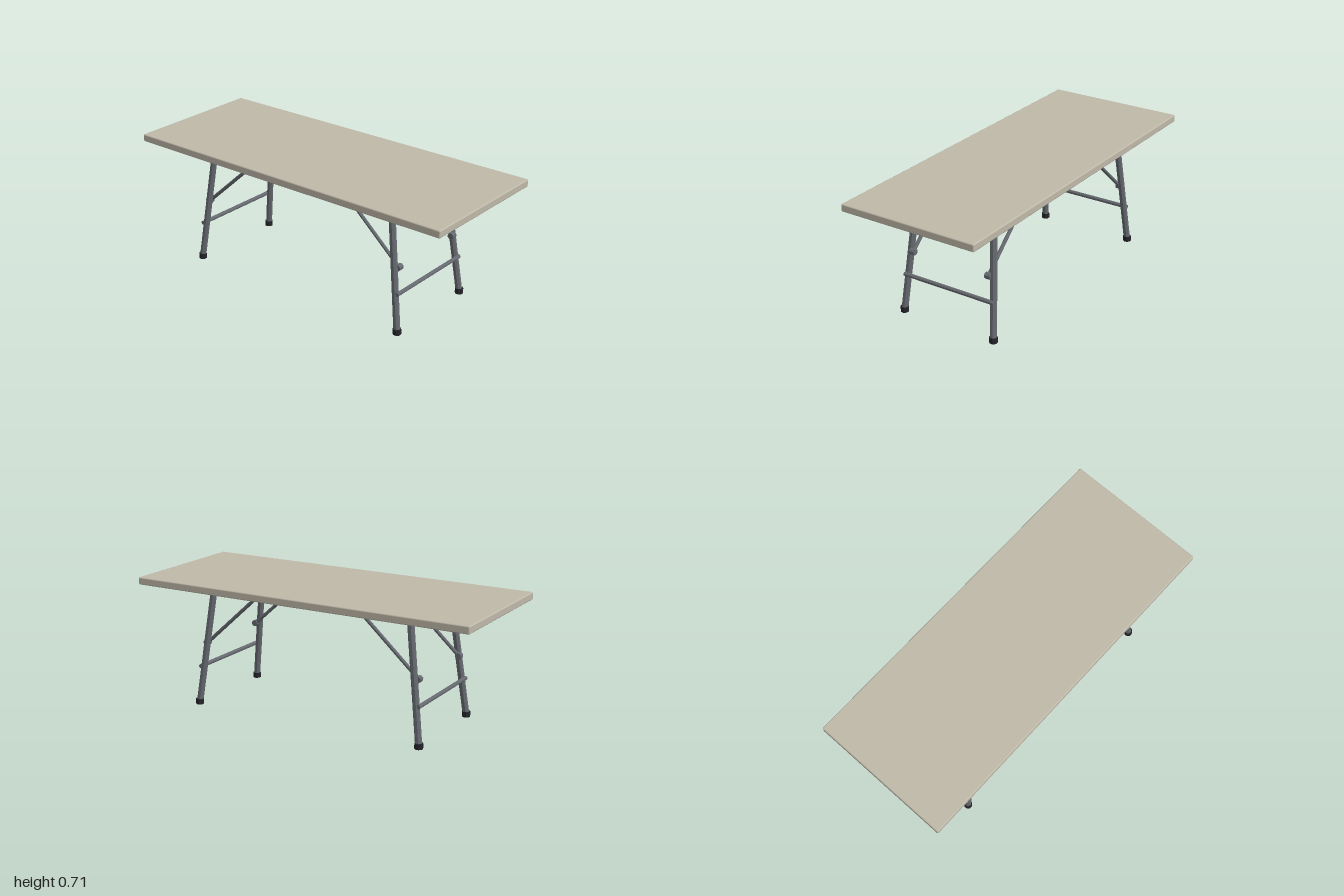
import * as THREE from 'three';
import { RoundedBoxGeometry } from 'three/addons/geometries/RoundedBoxGeometry.js';

const material = (name, color) => {
  const m = new THREE.MeshStandardMaterial({ color });
  m.name = name;
  return m;
};

export function createModel() {
  const laminate = material('beige laminate', 0xbfb9a9);
  const steel = material('grey steel', 0x666a70);
  const rubber = material('black rubber', 0x24242a);
  for (const m of [steel, rubber]) m.flatShading = true;

  const table = new THREE.Group();
  table.name = 'foldingTable';

  const add = (name, geometry, mat, x, y, z, parent = table) => {
    const mesh = new THREE.Mesh(geometry, mat);
    mesh.name = name;
    mesh.position.set(x, y, z);
    parent.add(mesh);
    return mesh;
  };

  // Straight tube between two points
  const tube = (name, a, b, radius, parent) => {
    const from = new THREE.Vector3(...a), to = new THREE.Vector3(...b);
    const dir = to.clone().sub(from);
    const geometry = new THREE.CylinderGeometry(radius, radius, dir.length(), 8);
    geometry.rotateY(Math.PI / 8);
    const mid = from.add(to).multiplyScalar(0.5);
    const mesh = add(name, geometry, steel, mid.x, mid.y, mid.z, parent);
    mesh.quaternion.setFromUnitVectors(new THREE.Vector3(0, 1, 0), dir.normalize());
    return mesh;
  };

  // Top slab with softened edges
  add('tabletop', new RoundedBoxGeometry(2, 0.042, 0.8, 2, 0.007), laminate, 0, 0.694, 0);

  // Lengthwise rails under the top
  for (const z of [-0.237, 0, 0.237]) {
    add(z ? 'sideRail' : 'centreRail', new THREE.BoxGeometry(1.33, 0.034, z ? 0.03 : 0.036),
      steel, 0, 0.658, z);
  }

  for (const sx of [-1, 1]) {
    const end = new THREE.Group();
    end.name = sx > 0 ? 'leftLegFrame' : 'rightLegFrame';
    table.add(end);

    add('crossRail', new THREE.BoxGeometry(0.058, 0.026, 0.55), steel, sx * 0.605, 0.662, 0, end);
    tube('stretcher', [sx * 0.68, 0.22, -0.282], [sx * 0.68, 0.22, 0.282], 0.0115, end);

    for (const sz of [-1, 1]) {
      // Splayed leg, its mounting plate and foot
      tube('leg', [sx * 0.689, 0.01, sz * 0.285], [sx * 0.605, 0.655, sz * 0.238], 0.0185, end);
      add('legMount', new THREE.BoxGeometry(0.058, 0.016, 0.054), steel,
        sx * 0.605, 0.641, sz * 0.237, end);
      const foot = new THREE.CylinderGeometry(0.023, 0.023, 0.03, 8);
      foot.rotateY(Math.PI / 8);
      add('foot', foot, rubber, sx * 0.689, 0.015, sz * 0.285, end);

      // Diagonal brace with its hinge on the leg
      tube('brace', [sx * 0.655, 0.354, sz * 0.237], [sx * 0.325, 0.65, sz * 0.237], 0.01, end);
      tube('braceHinge', [sx * 0.658, 0.353, sz * 0.222], [sx * 0.658, 0.353, sz * 0.254], 0.018, end);
    }
  }
  return table;
}
